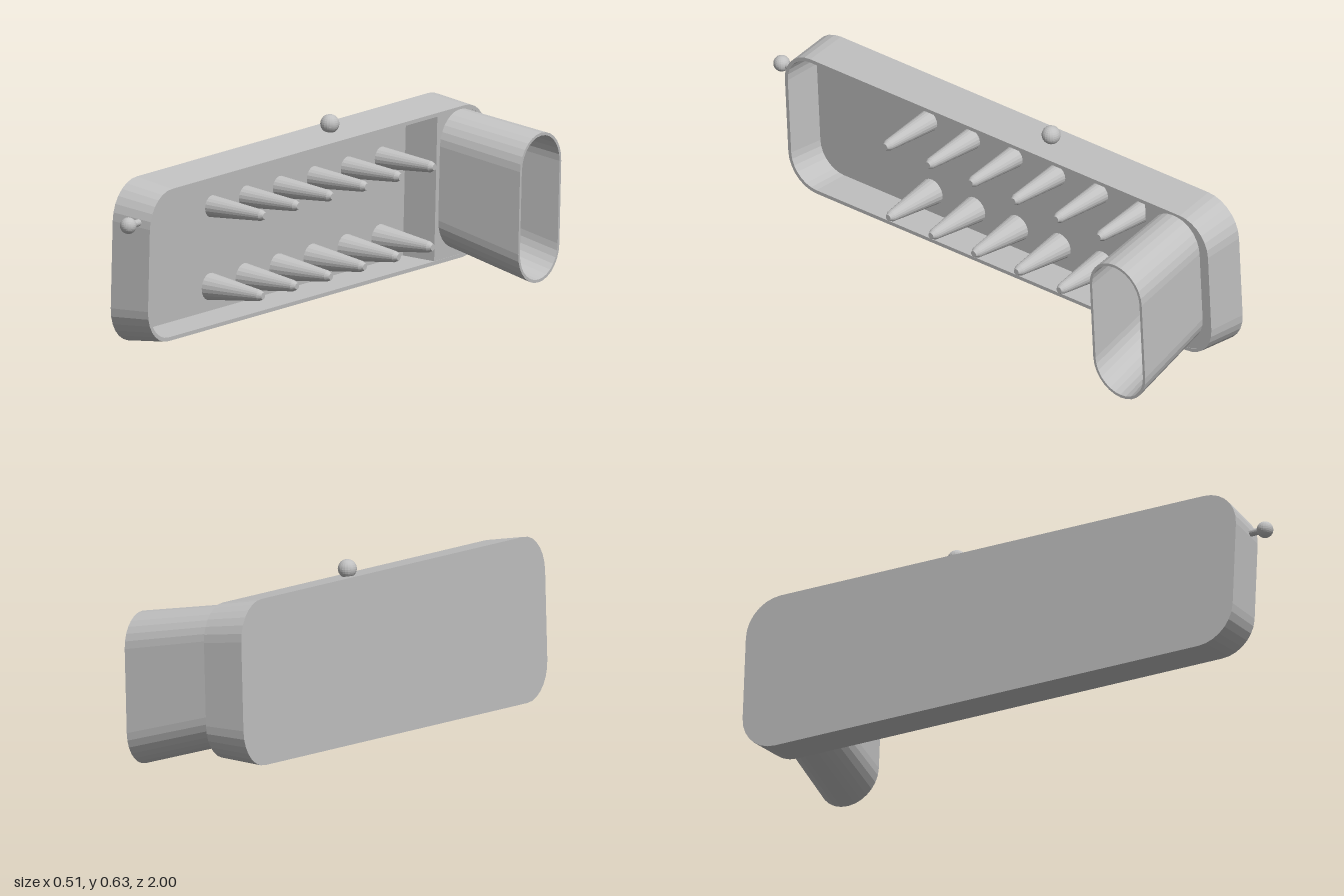
import * as THREE from 'three';

const grey = new THREE.MeshStandardMaterial({ color: 0xc0c0c0, flatShading: true });
grey.name = 'plain grey';

// Rounded rectangle outline, counter-clockwise
function outline({ w, h, r, x = 0, y = 0 }, seg = 7) {
  const pts = [];
  [[1, 1], [-1, 1], [-1, -1], [1, -1]].forEach(([sx, sy], k) => {
    for (let i = 0; i <= seg; i++) {
      const a = (k + i / seg) * Math.PI / 2;
      pts.push(new THREE.Vector2(
        x + sx * (w / 2 - r) + r * Math.cos(a),
        y + sy * (h / 2 - r) + r * Math.sin(a)));
    }
  });
  return pts;
}

// Skin a series of rounded rectangles, optionally capping first and last
function loft(sections, capped) {
  const pos = [], idx = [];
  const rings = sections.map((s) => outline(s));
  const n = rings[0].length;
  rings.forEach((ring, i) => ring.forEach((p) => pos.push(p.x, p.y, sections[i].z)));
  for (let i = 0; i < rings.length - 1; i++) {
    for (let j = 0; j < n; j++) {
      const a = i * n + j, b = i * n + (j + 1) % n;
      idx.push(a, b, b + n, a, b + n, a + n);
    }
  }
  if (capped) {
    const last = (rings.length - 1) * n;
    for (let j = 1; j < n - 1; j++) {
      idx.push(0, j + 1, j);
      idx.push(last, last + j, last + j + 1);
    }
  }
  const g = new THREE.BufferGeometry();
  g.setAttribute('position', new THREE.Float32BufferAttribute(pos, 3));
  g.setIndex(idx);
  g.computeVertexNormals();
  return g;
}

function add(parent, name, geometry, x = 0, y = 0, z = 0) {
  const m = new THREE.Mesh(geometry, grey);
  m.name = name;
  m.position.set(x, y, z);
  parent.add(m);
  return m;
}

export function createModel() {
  const model = new THREE.Group();
  model.name = 'peggedTray';
  const body = new THREE.Group(); // x along the tray, y up, z out of the opening
  body.name = 'body';
  model.add(body);

  // Open tray with drafted walls
  add(body, 'tray', loft([
    { w: 1.903, h: 0.558, r: 0.13, z: 0 },
    { w: 1.893, h: 0.52, r: 0.12, z: 0.15 },
    { w: 1.867, h: 0.494, r: 0.107, z: 0.15 },
    { w: 1.84, h: 0.494, r: 0.1, z: 0.02 },
  ], true));

  // Oval spout, hollow down to the tray floor
  const low = { w: 0.215, h: 0.455, r: 0.107, x: 0.79, y: 0.038, z: 0.02 };
  const high = { w: 0.232, h: 0.512, r: 0.115, x: 0.819, y: -0.04, z: 0.47 };
  const inset = (s) => ({ ...s, w: s.w - 0.02, h: s.h - 0.02, r: s.r - 0.01 });
  add(body, 'spout', loft([low, high, inset(high), inset(low)], false));

  // Deck around the spout, and the divider below its edge
  const x0 = 0.67, x1 = 0.94, hh = 0.252, r = 0.11;
  const deck = new THREE.Shape();
  deck.moveTo(x0, -hh);
  deck.lineTo(x1 - r, -hh);
  deck.absarc(x1 - r, -hh + r, r, -Math.PI / 2, 0, false);
  deck.absarc(x1 - r, hh - r, r, 0, Math.PI / 2, false);
  deck.lineTo(x0, hh);
  deck.closePath();
  deck.holes.push(new THREE.Path(
    outline({ w: 0.21, h: 0.46, r: 0.105, x: 0.798, y: 0.017 }).reverse()));
  add(body, 'deck', new THREE.ExtrudeGeometry(deck,
    { depth: 0.012, bevelEnabled: false, curveSegments: 7 }), 0, 0, 0.137);
  add(body, 'divider', new THREE.BoxGeometry(0.016, 0.5, 0.128), 0.678, 0, 0.083);

  // Two rows of tapered pegs
  for (const [y, radius, row] of [[0.111, 0.037, 'upper'], [-0.163, 0.046, 'lower']]) {
    const peg = new THREE.LatheGeometry([
      [radius, 0], [0.019, 0.205], [0.011, 0.22], [0, 0.22],
    ].map(([a, b]) => new THREE.Vector2(a, b)), 20);
    peg.rotateX(Math.PI / 2);
    for (let i = 0; i < 6; i++) add(body, row + 'Peg', peg, -0.42 + i * 0.191, y, 0.02);
  }

  // Ball knobs on the top and on the end
  add(body, 'topKnob', new THREE.SphereGeometry(0.032, 20, 14), 0.177, 0.296, 0.065);
  add(body, 'topKnobStem', new THREE.CylinderGeometry(0.012, 0.012, 0.04, 16), 0.177, 0.276, 0.065);
  add(body, 'endKnob', new THREE.SphereGeometry(0.028, 20, 14), -1.003, 0.158, 0.102);
  add(body, 'endKnobStem', new THREE.CylinderGeometry(0.012, 0.012, 0.07, 16), -0.967, 0.158, 0.102)
    .rotation.z = Math.PI / 2;

  // Resting pose: standing on its long side, slightly turned
  const along = new THREE.Vector3(-0.116, 0.018, -0.993).normalize();
  const out = new THREE.Vector3().crossVectors(along, new THREE.Vector3(0.042, 0.999, 0.013)).normalize();
  const up = new THREE.Vector3().crossVectors(out, along);
  body.quaternion.setFromRotationMatrix(new THREE.Matrix4().makeBasis(along, up, out));
  body.position.set(-0.135, 0.304, -0.016);
  return model;
}
